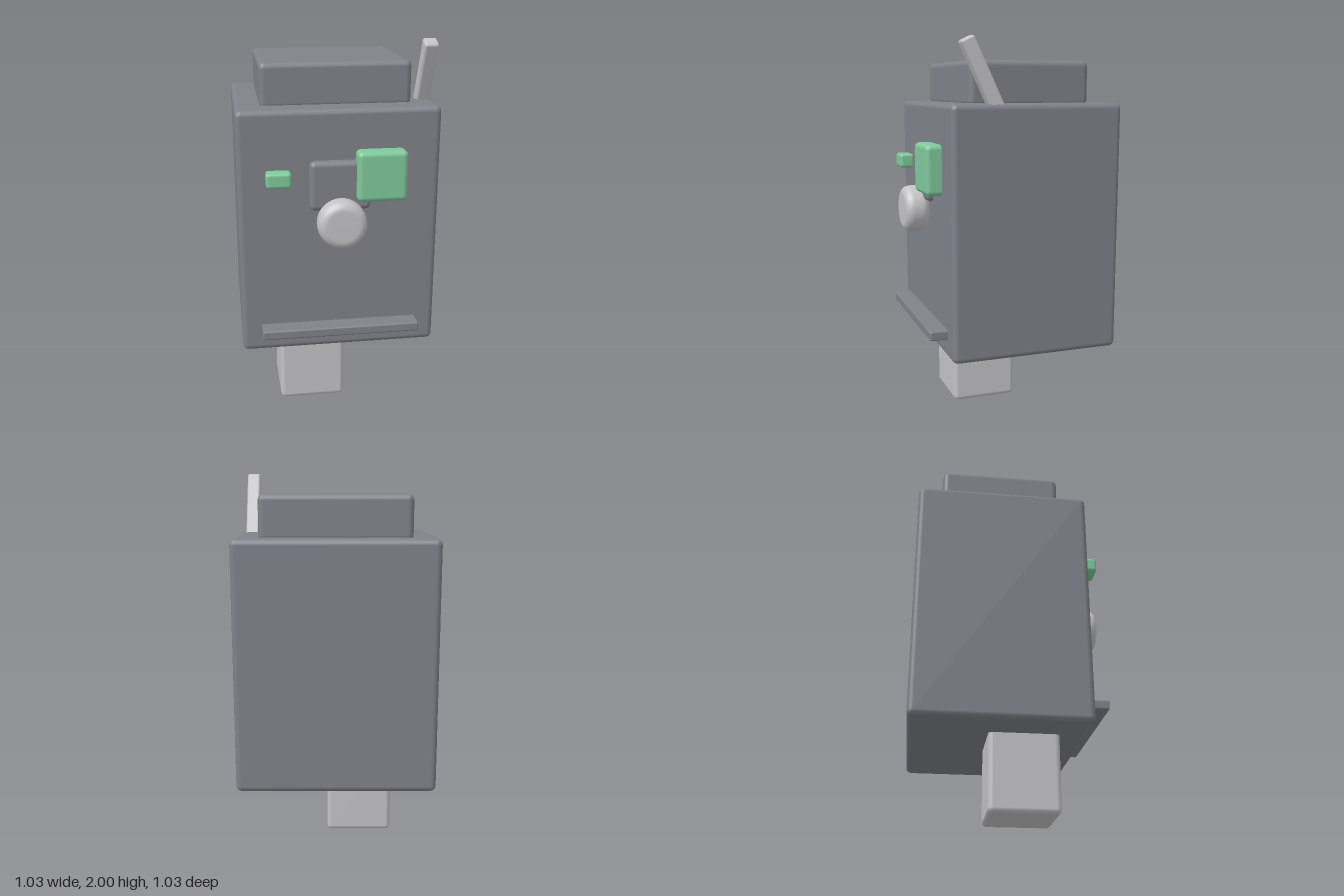
import * as THREE from 'three';
import { RoundedBoxGeometry } from 'three/addons/geometries/RoundedBoxGeometry.js';

const paint = (name, color) => {
  const m = new THREE.MeshStandardMaterial({ color });
  m.name = name;
  return m;
};

export function createModel() {
  const group = new THREE.Group();
  const grey = paint('slate grey', 0x80828a);
  const light = paint('light grey', 0xc4c4c7);
  const green = paint('mint green', 0x80c99c);

  const add = (name, geometry, material) => {
    const mesh = new THREE.Mesh(geometry, material);
    mesh.name = name;
    group.add(mesh);
    return mesh;
  };

  // bevelled block given by its extents along each axis
  const block = (name, material, [x0, x1], [y0, y1], [z0, z1], bevel) => {
    const mesh = add(name, new RoundedBoxGeometry(x1 - x0, y1 - y0, z1 - z0, 2, bevel), material);
    mesh.position.set((x0 + x1) / 2, (y0 + y1) / 2, (z0 + z1) / 2);
    return mesh;
  };

  // main masses
  block('body', grey, [-0.513, 0.513], [0.395, 1.68], [-0.513, 0.384], 0.03);
  block('cap', grey, [-0.385, 0.385], [1.66, 1.89], [-0.385, 0.256], 0.03);
  block('foot', light, [-0.308, 0.048], [0, 0.44], [-0.112, 0.245], 0.026);

  // face details
  block('backPlate', grey, [-0.155, 0.155], [1.17, 1.425], [0.34, 0.422], 0.028);
  block('largeEye', green, [0.078, 0.332], [1.22, 1.477], [0.36, 0.465], 0.026);
  block('smallEye', green, [-0.374, -0.249], [1.308, 1.386], [0.384, 0.463], 0.016);
  block('mouthShelf', grey, [-0.412, 0.41], [0.498, 0.547], [0.36, 0.477], 0.009);

  // round nose, edges rounded front and back
  const r = 0.125, bevel = 0.045, depth = 0.13;
  const profile = [new THREE.Vector2(0, 0)];
  for (const [cy, start] of [[bevel, -Math.PI / 2], [depth - bevel, 0]]) {
    for (let i = 0; i <= 5; i++) {
      const a = start + (i / 5) * Math.PI / 2;
      profile.push(new THREE.Vector2(r - bevel + bevel * Math.cos(a), cy + bevel * Math.sin(a)));
    }
  }
  profile.push(new THREE.Vector2(0, depth));
  const nose = add('nose', new THREE.LatheGeometry(profile, 32), light);
  nose.rotation.x = Math.PI / 2;
  nose.position.set(0, 1.115, 0.387);

  // antenna leaning forward out of the body top
  const tilt = 0.44, length = 0.42;
  const antenna = add('antenna', new RoundedBoxGeometry(0.073, length, 0.073, 2, 0.014), light);
  antenna.rotation.x = tilt;
  antenna.position.set(0.463, 1.987 - (length / 2) * Math.cos(tilt), 0.297 - (length / 2) * Math.sin(tilt));

  return group;
}
